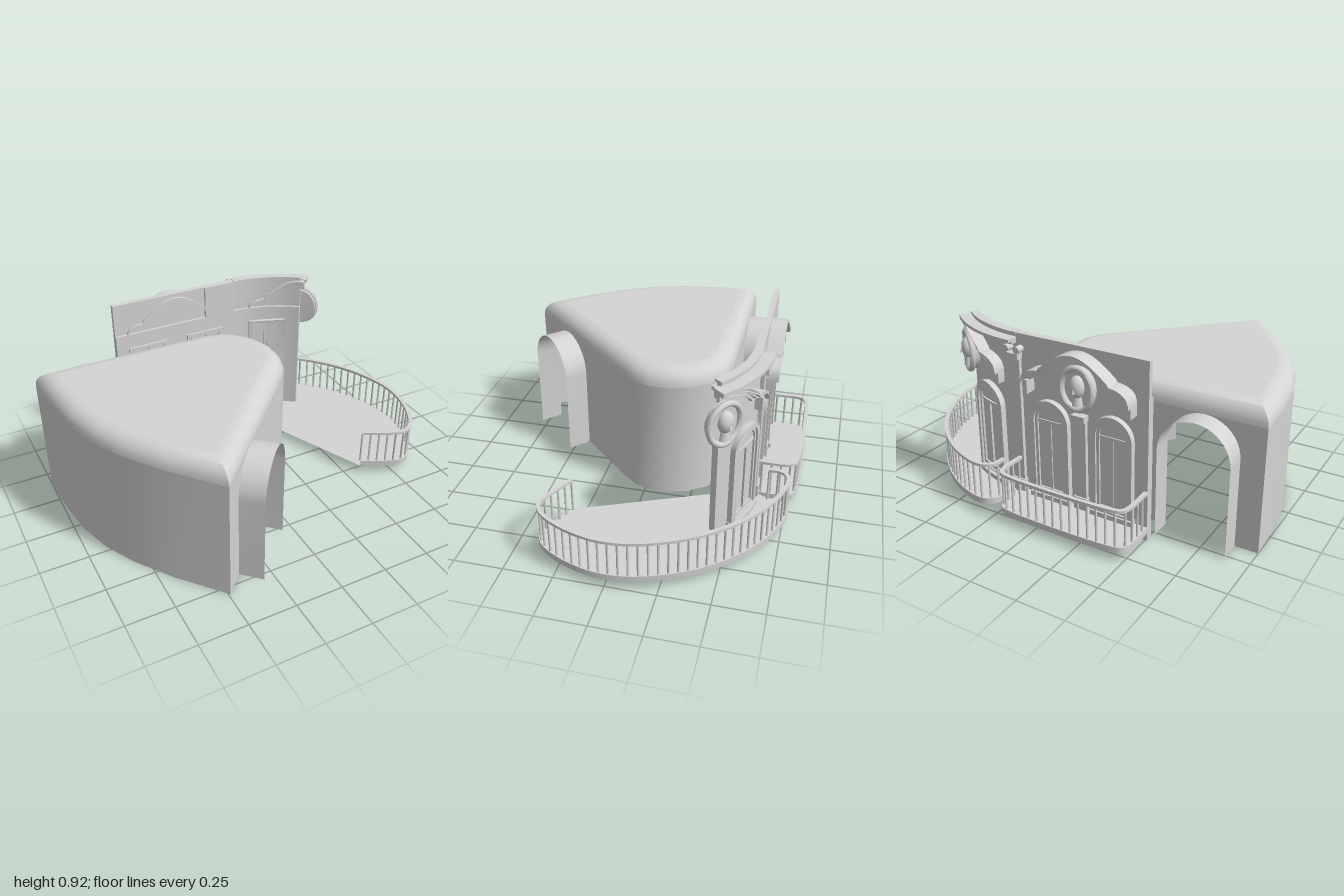
import * as THREE from 'three';
import { toCreasedNormals } from 'three/addons/utils/BufferGeometryUtils.js';

const plaster = new THREE.MeshStandardMaterial({ color: 0xd4d4d4, side: THREE.DoubleSide });
plaster.name = 'plaster grey';

function add(parent, name, geo, crease = 0.6) {
  const mesh = new THREE.Mesh(toCreasedNormals(geo, crease), plaster);
  mesh.name = name;
  parent.add(mesh);
  return mesh;
}

// Surface through rows of points
function loft(rows, closed = false) {
  const n = rows[0].length, index = [];
  for (let j = 0; j < rows.length - 1; j++) {
    for (let i = 0; i < (closed ? n : n - 1); i++) {
      const a = j * n + i, b = j * n + (i + 1) % n;
      index.push(a, a + n, b, a + n, b + n, b);
    }
  }
  const geo = new THREE.BufferGeometry();
  geo.setAttribute('position', new THREE.Float32BufferAttribute(rows.flat(2), 3));
  geo.setIndex(index);
  return geo;
}

// Arch outline standing on y0, from the right foot over the top to the left
function archPoints(w, y0, top, cx = 0) {
  const r = w / 2, pts = [[cx + r, y0]];
  for (let i = 0; i <= 20; i++) {
    const a = Math.PI * i / 20;
    pts.push([cx + r * Math.cos(a), top - r + r * Math.sin(a)]);
  }
  pts.push([cx - r, y0]);
  return pts;
}
const toShape = (pts) => new THREE.Shape(pts.map((p) => new THREE.Vector2(p[0], p[1])));
const rect = (x0, x1, y0, y1) => [[x0, y0], [x1, y0], [x1, y1], [x0, y1]];
// Level sheet from [x, z] points
const sheet = (pts, y) => new THREE.ShapeGeometry(toShape(pts.map((p) => [p[0], -p[1]]))).rotateX(-Math.PI / 2).translate(0, y, 0);

// ---- Room shell with rounded top edge and two arched porches ----
function room() {
  const g = new THREE.Group();
  g.name = 'room';
  const P = [[-1, -0.405], [-0.07, -0.405], [0.05, -0.38], [0.13, -0.32], [0.195, -0.23], [0.228, -0.13], [0.228, -0.02],
    [0.2, 0.06], [0.14, 0.135], [-0.49, 0.797], [-0.68, 0.575], [-0.82, 0.375], [-0.9, 0.22], [-0.96, 0.03], [-0.99, -0.2]];
  const doors = { 0: [-0.7, -0.405], 8: [-0.27, 0.566] };
  const n = P.length, H = 0.73, r = 0.09;
  const normal = (i) => {
    const a = P[i % n], b = P[(i + 1) % n], l = Math.hypot(b[0] - a[0], b[1] - a[1]);
    return [(b[1] - a[1]) / l, -(b[0] - a[0]) / l];
  };
  const ring = (inset, y) => P.map((p, i) => {
    const u = normal(i + n - 1), v = normal(i), k = inset / (1 + u[0] * v[0] + u[1] * v[1]);
    return [p[0] - (u[0] + v[0]) * k, y, p[1] - (u[1] + v[1]) * k];
  });
  const rows = [];
  for (let j = 0; j <= 6; j++) {
    const a = j * Math.PI / 12;
    rows.push(ring(r * (1 - Math.cos(a)), H - r + r * Math.sin(a)));
  }
  add(g, 'roundedRoofEdge', loft(rows, true), 0.75);
  add(g, 'roof', sheet(rows[6].map((p) => [p[0], p[2]]), H));
  // plain walls between the door walls
  for (const [from, to] of [[1, 8], [9, 15]]) {
    const line = [];
    for (let i = from; i <= to; i++) line.push(P[i % n]);
    add(g, 'curvedWall', loft([0, H - r].map((y) => line.map((p) => [p[0], y, p[1]]))), 0.75);
  }
  // door walls with porches
  for (const key of [0, 8]) {
    const nrm = normal(key), c = doors[key], a = P[key], b = P[key + 1];
    const porch = new THREE.Group();
    porch.name = key ? 'frontPorch' : 'backPorch';
    porch.position.set(c[0], 0, c[1]);
    porch.rotation.y = Math.atan2(nrm[0], nrm[1]);
    const right = Math.hypot(a[0] - c[0], a[1] - c[1]), left = Math.hypot(b[0] - c[0], b[1] - c[1]);
    const arch = archPoints(0.365, 0, 0.638), depth = key ? 0.127 : 0.11;
    const outline = [[-left, 0], ...arch.slice().reverse(), [right, 0], [right, H - r], [-left, H - r]];
    add(porch, 'doorWall', new THREE.ShapeGeometry(toShape(outline)));
    add(porch, 'archTunnel', loft([0, depth].map((z) => arch.map((p) => [p[0], p[1], z]))));
    g.add(porch);
  }
  return g;
}

// ---- Balconies: path is the centre line of the railing, back closes the deck at the wall ----
function balcony(name, path, back) {
  const g = new THREE.Group();
  g.name = name;
  const curve = new THREE.CatmullRomCurve3(path.map((p) => new THREE.Vector3(p[0], 0, p[1])), false, 'centripetal');
  const N = 90;
  const line = (offset) => {
    const pts = [];
    for (let i = 0; i <= N; i++) {
      const p = curve.getPointAt(i / N), t = curve.getTangentAt(i / N);
      pts.push([p.x + t.z * offset, p.z - t.x * offset]);
    }
    return pts;
  };
  const rim = line(0.01), inner = line(-0.01);
  const at = (pts, y) => pts.map((p) => [p[0], y, p[1]]);
  add(g, 'deckTop', sheet([...rim, ...back], 0.074));
  add(g, 'deckUnderside', sheet([...rim, ...back], 0.042));
  add(g, 'deckRim', loft([at(rim, 0.042), at(rim, 0.074)]));
  add(g, 'handrail', loft([at(rim, 0.252), at(rim, 0.266), at(inner, 0.266), at(inner, 0.252), at(rim, 0.252)]));
  curve.getSpacedPoints(Math.round(curve.getLength() / 0.047)).forEach((p) => {
    add(g, 'baluster', new THREE.CylinderGeometry(0.006, 0.006, 0.18, 8).translate(p.x, 0.163, p.z), 1);
  });
  return g;
}

// ---- Facade: modelled flat with outside at -z, then bent round its curved end ----
const S = 0.2, R = 0.59, Z = -0.54;
function bend(geo) {
  const p = geo.attributes.position;
  for (let i = 0; i < p.count; i++) {
    const s = p.getX(i), d = -p.getZ(i);
    if (s <= S) p.setZ(i, Z - d);
    else {
      const a = (s - S) / R;
      p.setX(i, S + (R + d) * Math.sin(a));
      p.setZ(i, Z + R - (R + d) * Math.cos(a));
    }
  }
  return geo;
}
function block(g, name, s0, s1, y0, y1, d0, d1) {
  const geo = new THREE.BoxGeometry(s1 - s0, y1 - y0, d1 - d0, Math.ceil((s1 - s0) / 0.03));
  return add(g, name, bend(geo.translate((s0 + s1) / 2, (y0 + y1) / 2, -(d0 + d1) / 2)));
}
function plate(g, name, pts, d0, d1, hole) {
  const shape = toShape(pts);
  if (hole) shape.holes.push(toShape(hole));
  const geo = new THREE.ExtrudeGeometry(shape, { depth: d1 - d0, bevelEnabled: false });
  return add(g, name, bend(geo.translate(0, 0, -d1)));
}

function windowBay(c) {
  const g = new THREE.Group();
  g.name = 'window';
  // outside: arched surround, pane, glazing bars, sill
  plate(g, 'archSurround', archPoints(0.22, 0.09, 0.61, c), 0.03, 0.07, archPoints(0.17, 0.11, 0.585, c));
  plate(g, 'innerSurround', archPoints(0.17, 0.11, 0.585, c), 0.03, 0.06, archPoints(0.14, 0.13, 0.57, c));
  plate(g, 'pane', archPoints(0.14, 0.13, 0.57, c), 0.04, 0.05);
  block(g, 'glazingBar', c - 0.006, c + 0.006, 0.13, 0.5, 0.04, 0.056);
  block(g, 'transom', c - 0.07, c + 0.07, 0.49, 0.502, 0.04, 0.056);
  block(g, 'sill', c - 0.115, c + 0.115, 0.075, 0.1, 0.03, 0.08);
  // inside: rectangular casement
  plate(g, 'insideFrame', rect(c - 0.112, c + 0.112, 0.18, 0.65), -0.012, 0.01, rect(c - 0.092, c + 0.092, 0.2, 0.635));
  for (const k of [-1, 1]) {
    const m = c + k * 0.046;
    plate(g, 'insideSash', rect(m - 0.043, m + 0.043, 0.2, 0.635), -0.008, 0.01, rect(m - 0.03, m + 0.03, 0.215, 0.62));
  }
  return g;
}

// Arched hood with rounded shoulders
function hood(c, u0, u1, depth) {
  const g = new THREE.Group();
  g.name = 'hoodMoulding';
  const height = (u) => {
    const a = Math.abs(u);
    return a < 0.19 ? 0.79 + 0.1 * Math.cos(a / 0.19 * Math.PI / 2)
      : 0.71 + 0.07 * Math.sqrt(Math.max(0, 1 - ((a - 0.19) / 0.105) ** 2));
  };
  const band = (name, drop, thick, d0, d1) => {
    const top = [], n = Math.round((u1 - u0) / 0.01);
    for (let i = 0; i <= n; i++) {
      const u = u0 + (u1 - u0) * i / n;
      top.push([c + u, height(u) - drop]);
    }
    plate(g, name, [...top, ...top.map((p) => [p[0], p[1] - thick]).reverse()], d0, d1);
  };
  band('hoodTop', 0, 0.016, 0, depth);
  band('hoodMiddle', 0.016, 0.014, 0.02, depth - 0.02);
  band('hoodLower', 0.03, 0.02, 0.02, depth - 0.04);
  // ends turned down beside the windows
  for (const u of [-0.282, 0.282]) {
    if (u > u0 && u < u1) block(g, 'hoodEnd', c + u - 0.013, c + u + 0.013, 0.64, 0.71, 0.03, depth - 0.02);
  }
  return g;
}

function medallion(c) {
  const g = new THREE.Group();
  g.name = 'medallion';
  const y = 0.715;
  const put = (name, geo, dx, dy, d) => add(g, name, bend(geo.translate(c + dx, y + dy, -d)), 0.9);
  put('ovalRing', new THREE.TorusGeometry(0.1, 0.015, 8, 36).scale(0.84, 1.03, 1.1), 0, 0, 0.075);
  put('ovalBack', new THREE.CylinderGeometry(0.1, 0.1, 0.03, 36).rotateX(Math.PI / 2).scale(0.84, 1.03, 1), 0, 0, 0.055);
  put('head', new THREE.SphereGeometry(0.05, 16, 12).scale(0.76, 1.12, 0.7), 0, 0.012, 0.075);
  put('nose', new THREE.ConeGeometry(0.009, 0.03, 6), 0, 0.004, 0.108);
  put('neck', new THREE.CylinderGeometry(0.02, 0.028, 0.05, 12), 0, -0.055, 0.072);
  return g;
}

function pilaster(c, w, top) {
  const g = new THREE.Group();
  g.name = 'pilaster';
  block(g, 'shaft', c - w / 2, c + w / 2, 0.07, top, 0.03, 0.06);
  block(g, 'base', c - w * 0.6, c + w * 0.6, 0.07, 0.14, 0.03, 0.07);
  block(g, 'capital', c - w * 0.6, c + w * 0.6, top - 0.03, top, 0.03, 0.08);
  return g;
}

function facade() {
  const g = new THREE.Group();
  g.name = 'facade';
  const mid = -0.155, end = 0.59, last = 0.6;
  block(g, 'lowerWall', -0.51, last, 0, 0.73, 0, 0.04);
  block(g, 'upperWall', -0.51, last, 0.73, 0.912, 0.015, 0.04);
  block(g, 'pier', 0.03, 0.21, 0.73, 0.912, 0, 0.04);
  block(g, 'straightCoping', -0.51, 0.03, 0.9, 0.912, 0.01, 0.04);
  block(g, 'curvedCoping', 0.21, last, 0.903, 0.915, 0, 0.045);
  block(g, 'curvedCornice', 0.21, 0.63, 0.876, 0.892, 0.03, 0.1);
  block(g, 'curvedCorniceLower', 0.21, 0.62, 0.862, 0.876, 0.03, 0.075);
  for (const c of [mid - 0.175, mid + 0.175, end - 0.18]) g.add(windowBay(c));
  // inside curtain rods
  block(g, 'straightCurtainRod', -0.44, 0.14, 0.5, 0.515, -0.03, -0.012);
  block(g, 'curvedWindowRail', 0.3, 0.52, 0.175, 0.19, -0.026, 0.01);
  g.add(hood(mid, -0.295, 0.295, 0.12), hood(end, -0.295, 0.03, 0.1));
  g.add(medallion(mid), medallion(end + 0.005));
  g.add(pilaster(mid, 0.06, 0.58), pilaster(0.215, 0.06, 0.82));
  // scroll ornament above the pilaster
  for (const k of [-1, 1]) {
    const curl = new THREE.CylinderGeometry(0.018, 0.018, 0.04, 16).rotateX(Math.PI / 2);
    add(g, 'scroll', bend(curl.translate(0.215 + k * 0.03, 0.838, -0.06)));
  }
  return g;
}

export function createModel() {
  const model = new THREE.Group();
  model.name = 'pavilion';
  const small = [[-0.503, -0.57], [-0.503, -0.73], [-0.488, -0.772], [-0.445, -0.788], [0.145, -0.788], [0.188, -0.772],
    [0.203, -0.73], [0.203, -0.57]];
  const large = [[0.265, -0.66], [0.275, -0.73], [0.33, -0.762], [0.5, -0.718], [0.7, -0.588], [0.86, -0.4], [0.955, -0.2],
    [0.988, -0.05], [0.982, 0.08], [0.93, 0.24], [0.86, 0.345], [0.8, 0.375], [0.74, 0.36], [0.585, 0.285]];
  model.add(room(), facade());
  model.add(balcony('straightBalcony', small, []));
  model.add(balcony('curvedBalcony', large, [[0.22, -0.53], [0.215, -0.57]]));
  return model;
}
